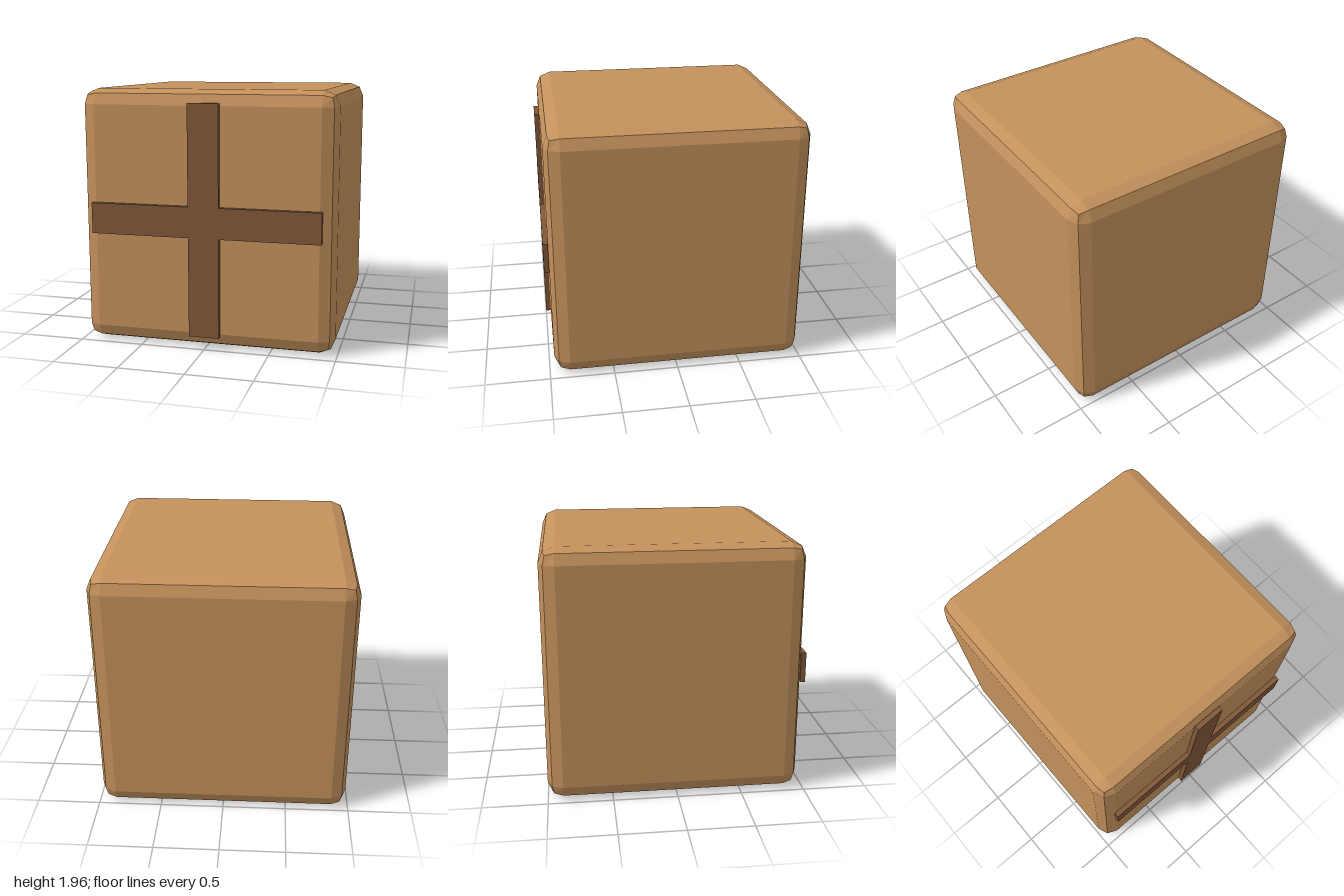
import * as THREE from 'three';
import { RoundedBoxGeometry } from 'three/addons/geometries/RoundedBoxGeometry.js';

const SIDE = 1.961;
const BEVEL = 0.118;
const STRAP_DEPTH = 0.039;

// Plus-shaped outline centred on the origin
function crossShape(reach, half) {
  const shape = new THREE.Shape();
  for (let i = 0; i < 4; i++) {
    const c = Math.round(Math.cos(i * Math.PI / 2));
    const s = Math.round(Math.sin(i * Math.PI / 2));
    for (const [x, y] of [[reach, -half], [reach, half], [half, half]]) {
      const px = c * x - s * y, py = s * x + c * y;
      if (i === 0 && x === reach && y === -half) shape.moveTo(px, py);
      else shape.lineTo(px, py);
    }
  }
  shape.closePath();
  return shape;
}

export function createModel() {
  const group = new THREE.Group();
  group.name = 'crate';

  const wood = new THREE.MeshStandardMaterial({ color: 0xc4915c });
  wood.name = 'light wood';
  const darkWood = new THREE.MeshStandardMaterial({ color: 0x82583a });
  darkWood.name = 'dark wood';

  // Cube with two-facet bevels, faceted normals
  const cube = new RoundedBoxGeometry(SIDE, SIDE, SIDE, 1, BEVEL);
  cube.computeVertexNormals();
  const body = new THREE.Mesh(cube, wood);
  body.name = 'body';
  body.position.set(0, SIDE / 2, -1 + SIDE / 2);
  group.add(body);

  // Raised cross on the front face
  const crossGeometry = new THREE.ExtrudeGeometry(crossShape(0.883, 0.118), {
    depth: STRAP_DEPTH, bevelEnabled: false,
  });
  const cross = new THREE.Mesh(crossGeometry, darkWood);
  cross.name = 'frontCross';
  cross.position.set(0, SIDE / 2, 1 - STRAP_DEPTH);
  group.add(cross);

  return group;
}
